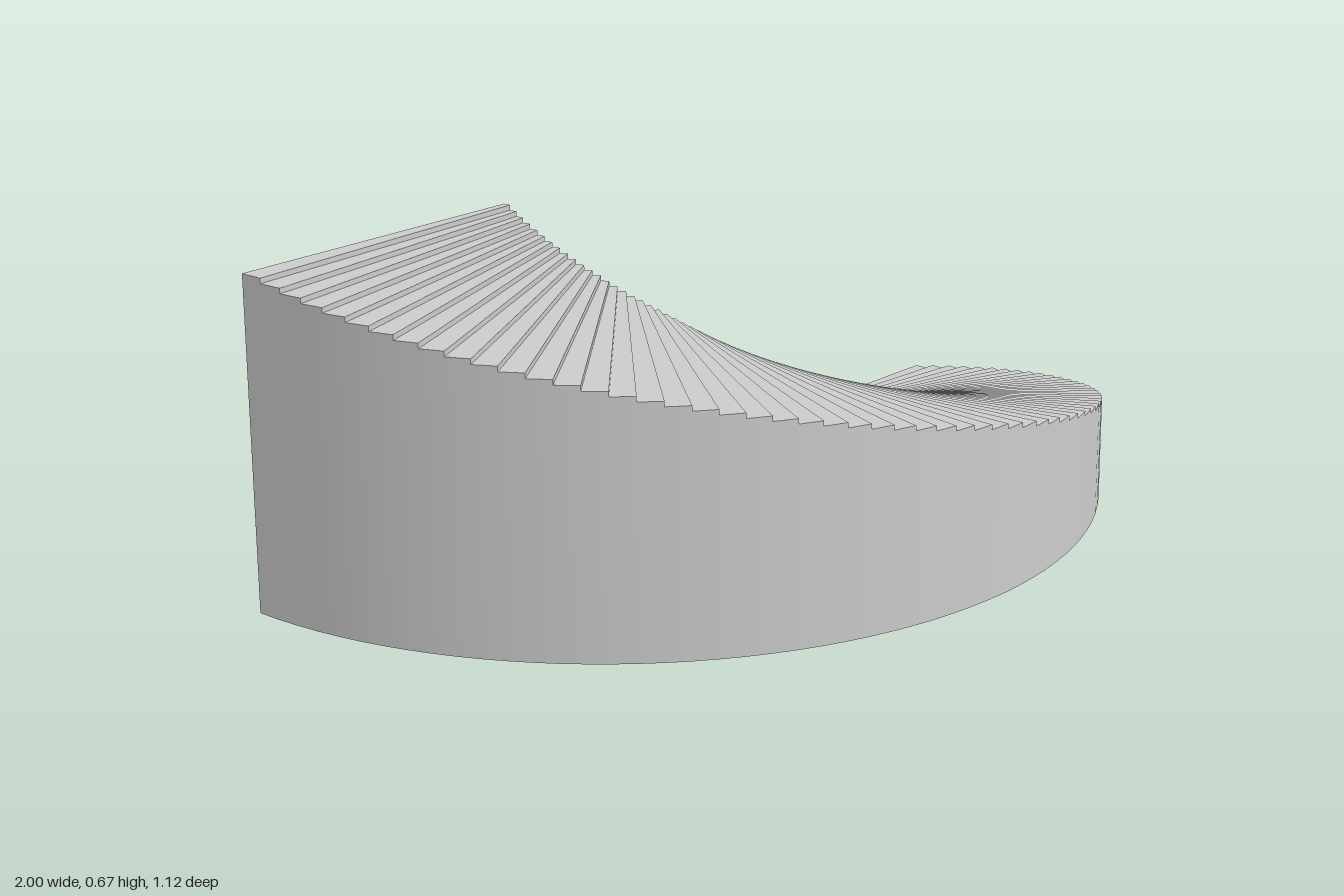
import * as THREE from 'three';

const STEPS = 64;
const RISE = 0.668 / STEPS;
const START = THREE.MathUtils.degToRad(-7);
const SWEEP = Math.PI;
const OUTER = 1.003, INNER = 0.335;
const CX = -0.003, CZ = -0.44;

// Point on the spiral: radius, step index and height
function at(r, i, y) {
  const t = START + (SWEEP * i) / STEPS;
  return [CX + r * Math.cos(t), y, CZ + r * Math.sin(t)];
}

// Mesh from counter-clockwise quads; radial = 1 or -1 gives smooth curved-wall normals
function quadMesh(name, quads, material, radial = 0) {
  const pos = quads.flatMap(([a, b, c, d]) => [a, b, c, a, c, d].flat());
  const geo = new THREE.BufferGeometry();
  geo.setAttribute('position', new THREE.Float32BufferAttribute(pos, 3));
  geo.computeVertexNormals();
  if (radial) {
    const p = geo.attributes.position, n = geo.attributes.normal;
    const v = new THREE.Vector3();
    for (let i = 0; i < p.count; i++) {
      v.set(p.getX(i) - CX, 0, p.getZ(i) - CZ).normalize().multiplyScalar(radial);
      n.setXYZ(i, v.x, v.y, v.z);
    }
  }
  const mesh = new THREE.Mesh(geo, material);
  mesh.name = name;
  return mesh;
}

export function createModel() {
  const group = new THREE.Group();
  group.name = 'curvedStaircase';
  const material = new THREE.MeshStandardMaterial({ color: 0xcccccc, side: THREE.DoubleSide });
  const treads = [], risers = [], outer = [], inner = [];

  for (let i = 0; i < STEPS; i++) {
    const j = i + 1, low = i * RISE, top = j * RISE;
    treads.push([at(OUTER, j, top), at(OUTER, i, top), at(INNER, i, top), at(INNER, j, top)]);
    risers.push([at(OUTER, i, low), at(INNER, i, low), at(INNER, i, top), at(OUTER, i, top)]);
    outer.push([at(OUTER, j, 0), at(OUTER, i, 0), at(OUTER, i, top), at(OUTER, j, top)]);
    inner.push([at(INNER, i, 0), at(INNER, j, 0), at(INNER, j, top), at(INNER, i, top)]);
  }

  // Stepped surface
  group.add(quadMesh('treads', treads, material));
  group.add(quadMesh('risers', risers, material));
  // Curved side walls, open underneath
  group.add(quadMesh('outerWall', outer, material, 1));
  group.add(quadMesh('innerWall', inner, material, -1));
  // Flat wall closing the tall end
  const h = STEPS * RISE;
  group.add(quadMesh('endWall', [
    [at(INNER, STEPS, 0), at(OUTER, STEPS, 0), at(OUTER, STEPS, h), at(INNER, STEPS, h)],
  ], material));
  return group;
}
